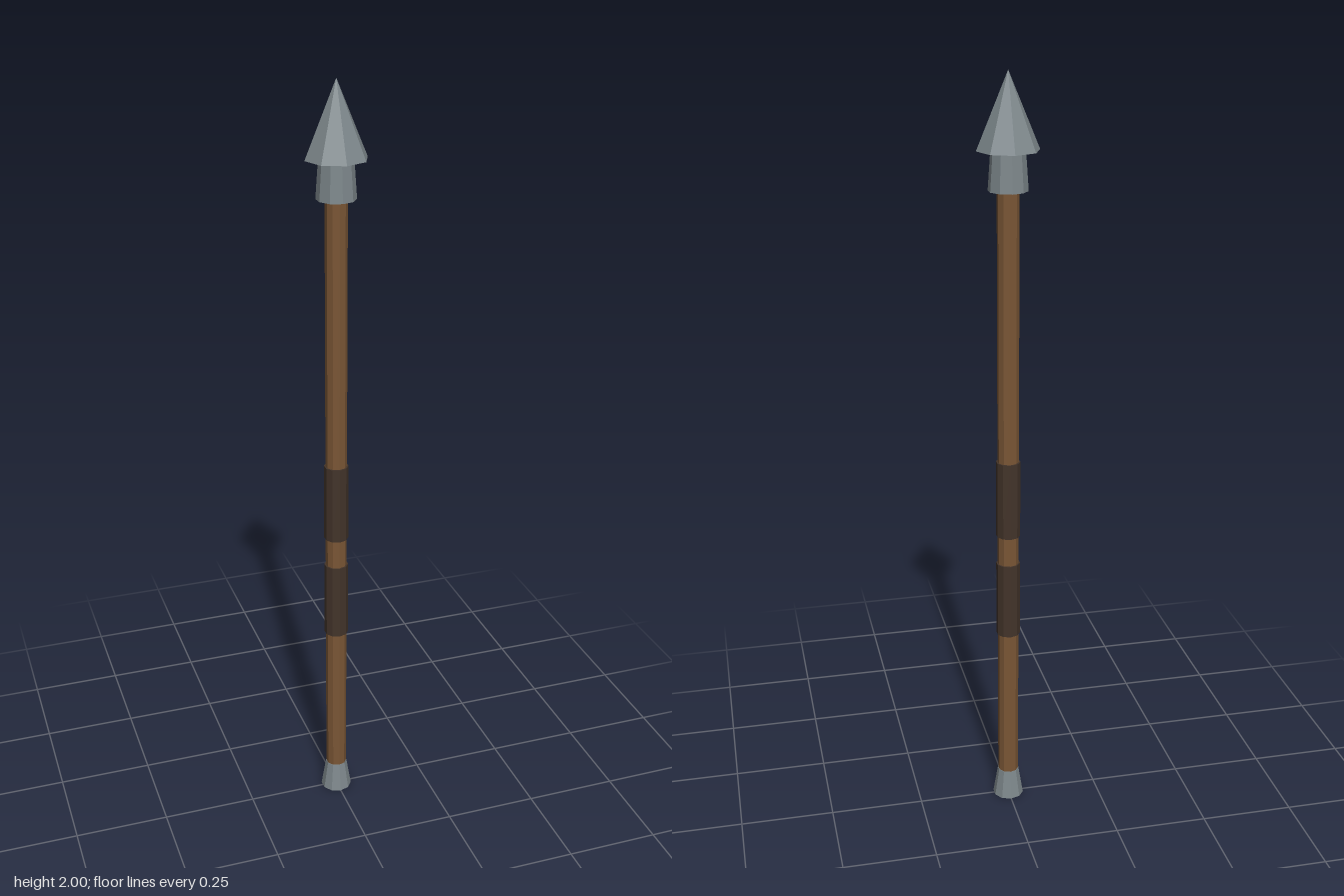
import * as THREE from 'three';

export function createModel() {
  const spear = new THREE.Group();
  const material = (color) => new THREE.MeshStandardMaterial({ color, flatShading: true });
  const wood = material(0x7a5635);
  const leather = material(0x43342a);
  const steel = material(0x7d878b);

  // Faceted round section standing between two heights
  function section(name, bottom, top, rBottom, rTop, sides, mat) {
    const geometry = new THREE.CylinderGeometry(rTop, rBottom, top - bottom, sides);
    const mesh = new THREE.Mesh(geometry, mat);
    mesh.name = name;
    mesh.position.y = (bottom + top) / 2;
    spear.add(mesh);
  }

  section('shaft', 0.02, 1.82, 0.028, 0.028, 10, wood);

  // Leather wraps
  section('lowerGrip', 0.51, 0.72, 0.032, 0.032, 10, leather);
  section('upperGrip', 0.80, 1.01, 0.032, 0.032, 10, leather);

  // Metal butt, socket and point
  section('buttCap', 0, 0.08, 0.042, 0.029, 10, steel);
  section('socket', 1.715, 1.815, 0.05, 0.043, 10, steel);

  const point = new THREE.Mesh(new THREE.ConeGeometry(0.079, 0.188, 8), steel);
  point.name = 'spearPoint';
  point.position.y = 1.906;
  spear.add(point);

  return spear;
}
